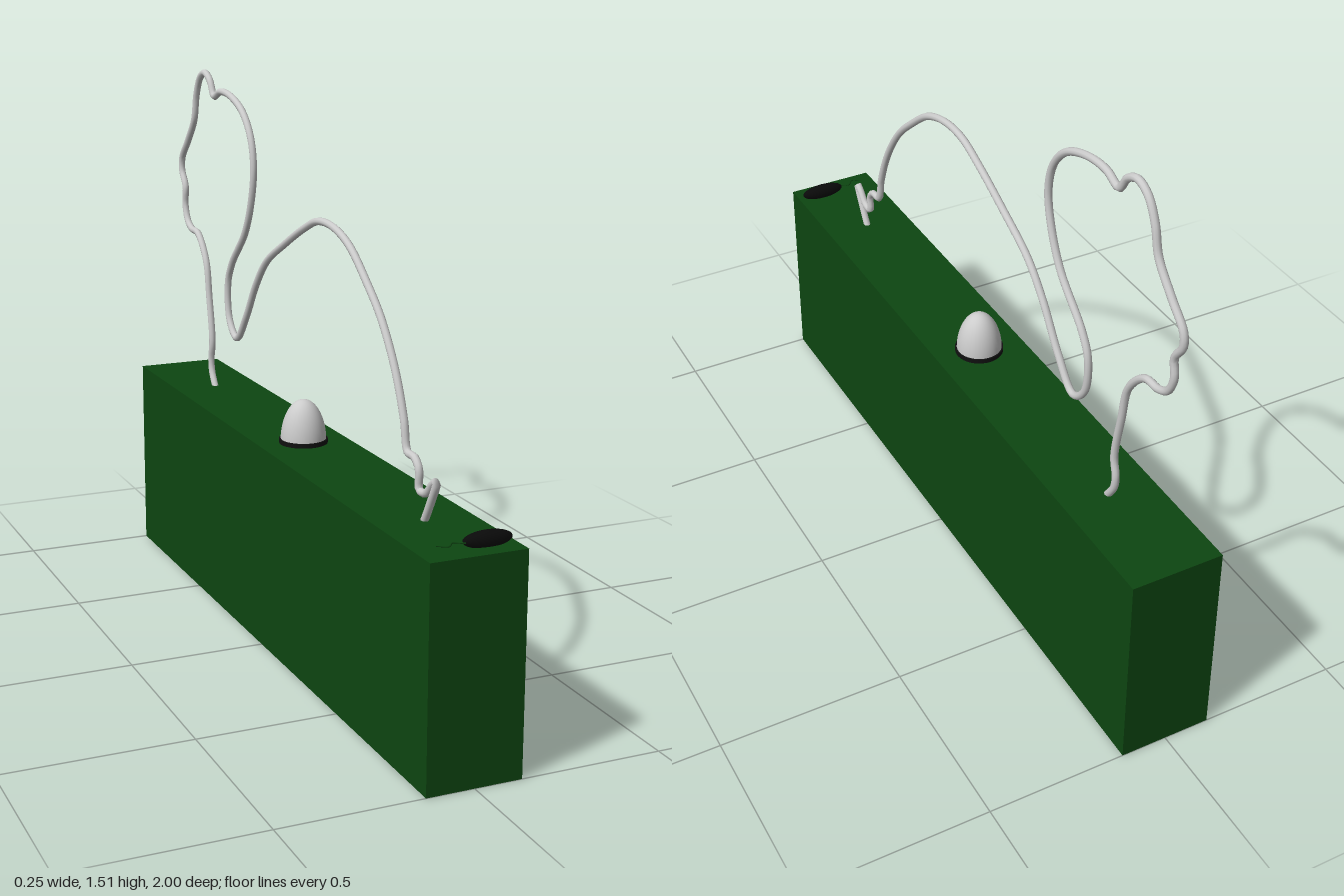
import * as THREE from 'three';

const TOP = 0.565; // height of the base block

function part(name, geometry, color, parent) {
  const mesh = new THREE.Mesh(geometry, new THREE.MeshStandardMaterial({ color }));
  mesh.name = name;
  parent.add(mesh);
  return mesh;
}

export function createModel() {
  const group = new THREE.Group();
  group.name = 'wireAnimalOnBlock';

  // Long green block
  part('base', new THREE.BoxGeometry(0.25, TOP, 2), 0x0d4611, group).position.y = TOP / 2;

  // Bent wire outline from tail to chest, as [z, y] in the x = 0 plane
  const outline = [
    [0.72, 0.555], [0.755, 0.615], [0.785, 0.675], [0.765, 0.665], [0.73, 0.632], [0.695, 0.632],
    [0.693, 0.68], [0.67, 0.703], [0.63, 0.708], [0.61, 0.78], [0.56, 0.89],
    [0.48, 1.0], [0.395, 1.075], [0.29, 1.15], [0.19, 1.182], [0.095, 1.182],
    [0.005, 1.15], [-0.13, 1.086], [-0.26, 1.016], [-0.34, 0.936], [-0.42, 0.825],
    [-0.495, 0.75], [-0.552, 0.795], [-0.562, 0.9], [-0.53, 0.963], [-0.42, 1.075],
    [-0.37, 1.176], [-0.353, 1.267], [-0.374, 1.348], [-0.433, 1.412], [-0.53, 1.45],
    [-0.61, 1.455], [-0.662, 1.438], [-0.695, 1.481], [-0.738, 1.5], [-0.78, 1.481],
    [-0.812, 1.428], [-0.834, 1.353], [-0.893, 1.283], [-0.947, 1.225], [-0.95, 1.187],
    [-0.92, 1.139], [-0.925, 1.086], [-0.904, 1.037], [-0.866, 1.016], [-0.813, 1.01],
    [-0.745, 0.936], [-0.722, 0.829], [-0.7, 0.695], [-0.711, 0.642], [-0.706, 0.604], [-0.675, 0.555],
  ];
  const path = new THREE.CatmullRomCurve3(outline.map(([z, y]) => new THREE.Vector3(0, y, z)));
  part('wireOutline', new THREE.TubeGeometry(path, 320, 0.01, 10), 0xcccccc, group);

  // Domed button with its dark collar
  const dome = new THREE.SphereGeometry(0.062, 32, 16, 0, Math.PI * 2, 0, Math.PI / 2);
  dome.scale(1, 1.85, 1);
  part('dome', dome, 0xcccccc, group).position.y = 0.57;
  part('domeCollar', new THREE.CylinderGeometry(0.066, 0.066, 0.012, 32), 0x101010, group).position.y = TOP + 0.006;

  // Small dark body lying at the front end
  const body = new THREE.SphereGeometry(1, 24, 16);
  body.scale(0.064, 0.021, 0.021);
  part('smallBody', body, 0x0a0a0a, group).position.set(0.051, 0.58, 0.94);

  // Its thin curled tail
  const tail = new THREE.CatmullRomCurve3([
    [-0.01, 0.95], [-0.035, 0.935], [-0.055, 0.955], [-0.08, 0.94],
  ].map(([x, z]) => new THREE.Vector3(x, 0.58, z)));
  part('smallTail', new THREE.TubeGeometry(tail, 24, 0.002, 6), 0x0d4611, group);

  return group;
}
